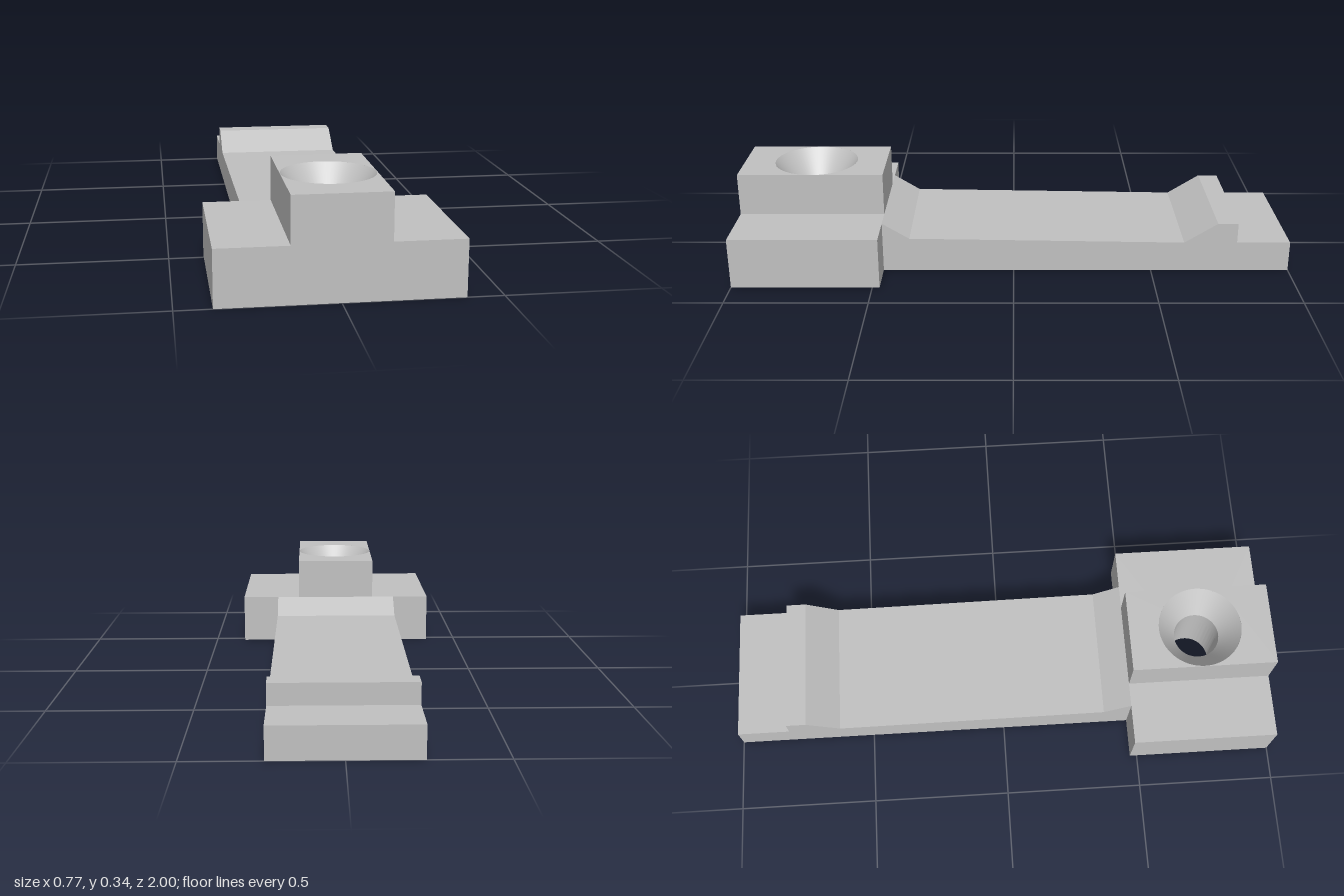
import * as THREE from 'three';
import { toCreasedNormals } from 'three/addons/utils/BufferGeometryUtils.js';

const BACK = 0.474, FRONT = 1;       // z range of the mounting block
const HOLE_Z = 0.735, BORE = 0.083, RIM = 0.152;

export function createModel() {
  const group = new THREE.Group();
  const grey = new THREE.MeshStandardMaterial({ color: 0xc0c0c0 });
  grey.name = 'plain grey';

  const add = (name, geometry) => {
    const mesh = new THREE.Mesh(geometry, grey);
    mesh.name = name;
    group.add(mesh);
  };

  // Rectangular slab with a round vertical hole, from y0 to y1
  const drilledSlab = (halfWidth, y0, y1, radius) => {
    const shape = new THREE.Shape([
      new THREE.Vector2(-halfWidth, -FRONT), new THREE.Vector2(halfWidth, -FRONT),
      new THREE.Vector2(halfWidth, -BACK), new THREE.Vector2(-halfWidth, -BACK),
    ]);
    shape.holes.push(new THREE.Path().absarc(0, -HOLE_Z, radius, 0, Math.PI * 2, true));
    const geometry = new THREE.ExtrudeGeometry(shape, { depth: y1 - y0, bevelEnabled: false, curveSegments: 64 });
    geometry.rotateX(-Math.PI / 2).translate(0, y0, 0);
    return toCreasedNormals(geometry, 0.5);
  };

  // Inward-facing hole wall, running from top to bottom
  const holeWall = (rTop, yTop, rBottom, yBottom) =>
    new THREE.LatheGeometry([new THREE.Vector2(rTop, yTop), new THREE.Vector2(rBottom, yBottom)], 64)
      .translate(0, 0, HOLE_Z);

  // Mounting block: wide base and narrow raised boss
  add('base', drilledSlab(0.383, 0, 0.184, BORE));
  add('boss', drilledSlab(0.1535, 0.184, 0.337, RIM));
  add('countersink', holeWall(RIM, 0.337, BORE, 0.245));
  add('bore', holeWall(BORE, 0.245, BORE, 0.184));

  // Arm with its root ramp, catch ridge and end tab, as a side profile in (z, y)
  const profile = [
    [-1, 0], [BACK, 0], [BACK, 0.184], [0.377, 0.125], [-0.617, 0.11],
    [-0.735, 0.184], [-0.808, 0.184], [-0.808, 0.11], [-1, 0.11],
  ].map(([z, y]) => new THREE.Vector2(z, y));
  const arm = new THREE.ExtrudeGeometry(new THREE.Shape(profile), { depth: 0.482, bevelEnabled: false });
  arm.translate(0, 0, -0.241).rotateY(-Math.PI / 2);
  add('arm', arm);

  return group;
}
